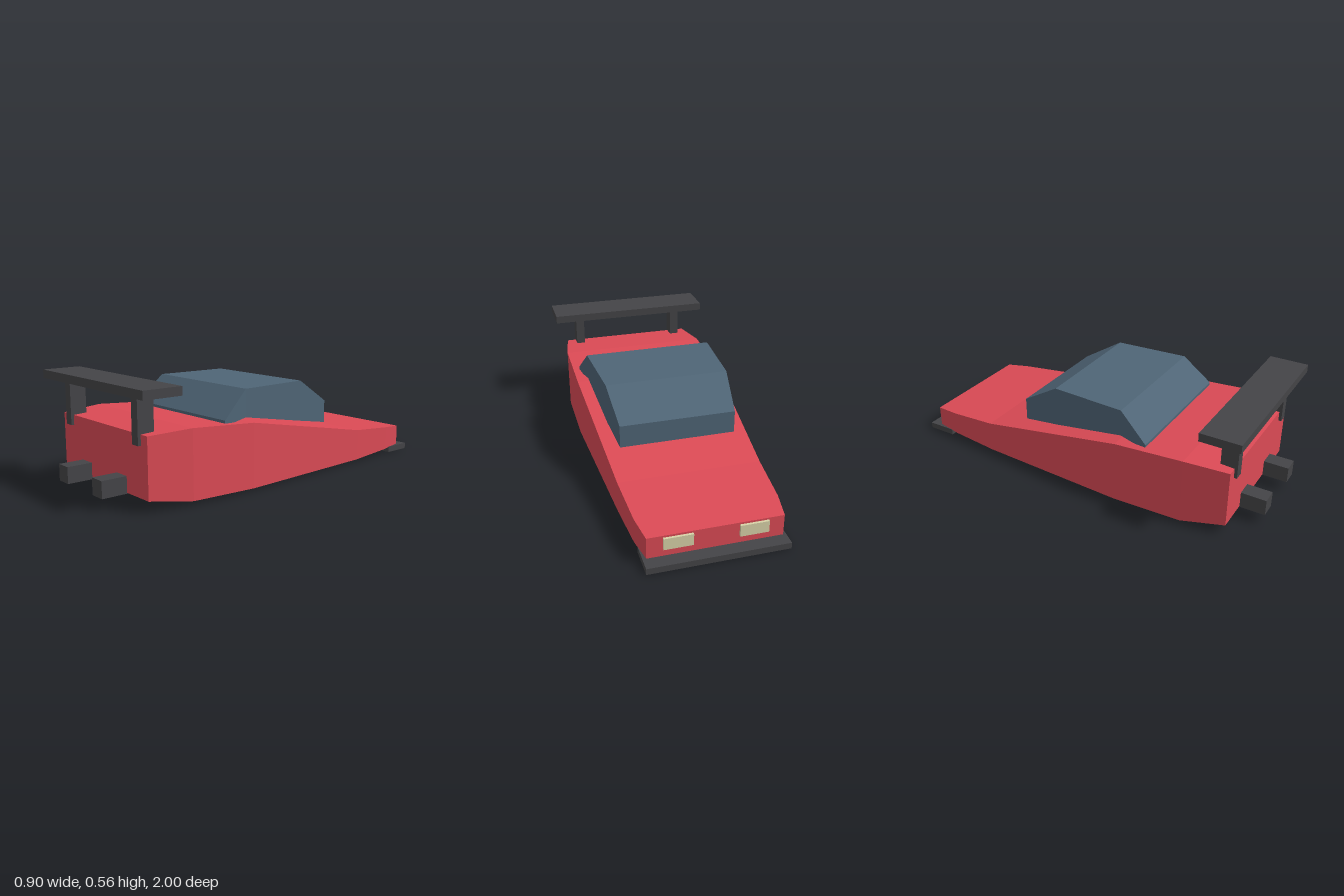
import * as THREE from 'three';

const paint = (color) => new THREE.MeshStandardMaterial({ color, flatShading: true });

// Skin rectangular cross-sections [z, halfWidth, bottom, top], listed by rising z
function loft(sections) {
  const pos = [], idx = [];
  for (const [z, w, b, t] of sections) pos.push(w, t, z, -w, t, z, -w, b, z, w, b, z);
  const last = (sections.length - 1) * 4;
  for (let s = 0; s < last; s += 4) {
    for (let i = 0; i < 4; i++) {
      const a = s + i, b = s + (i + 1) % 4;
      idx.push(a, b, b + 4, a, b + 4, a + 4);
    }
  }
  idx.push(0, 2, 1, 0, 3, 2);
  idx.push(last, last + 1, last + 2, last, last + 2, last + 3);
  const geo = new THREE.BufferGeometry();
  geo.setAttribute('position', new THREE.Float32BufferAttribute(pos, 3));
  geo.setIndex(idx);
  const flat = geo.toNonIndexed();
  flat.computeVertexNormals();
  return flat;
}

// Box given by its limits on each axis
function box([x0, x1], [y0, y1], [z0, z1]) {
  return new THREE.BoxGeometry(x1 - x0, y1 - y0, z1 - z0)
    .translate((x0 + x1) / 2, (y0 + y1) / 2, (z0 + z1) / 2);
}

export function createModel() {
  const model = new THREE.Group();
  model.name = 'sportsCar';
  const red = paint(0xdb4a55), glass = paint(0x4f6576);
  const dark = paint(0x444447), cream = paint(0xd8d2a8);

  const add = (name, geometry, material) => {
    const mesh = new THREE.Mesh(geometry, material);
    mesh.name = name;
    model.add(mesh);
  };
  const addPair = (name, [x0, x1], y, z, material) => {
    add(name + 'Left', box([x0, x1], y, z), material);
    add(name + 'Right', box([-x1, -x0], y, z), material);
  };

  // Wedge body
  add('body', loft([
    [-0.935, 0.327, 0.035, 0.145],
    [-0.8, 0.35, 0.027, 0.157],
    [-0.53, 0.366, 0.012, 0.18],
    [0.285, 0.41, 0.012, 0.338],
    [0.65, 0.41, 0.023, 0.362],
    [0.87, 0.375, 0.058, 0.35],
  ]), red);

  // Cabin, its floor sloping towards the low end
  add('cabin', loft([
    [-0.32, 0.303, 0.245, 0.365],
    [-0.11, 0.326, 0.283, 0.495],
    [0.285, 0.35, 0.355, 0.495],
    [0.435, 0.375, 0.335, 0.362],
  ]), glass);

  // Wing on two posts
  add('wing', box([-0.452, 0.452], [0.523, 0.565], [0.735, 0.937]), dark);
  addPair('wingPost', [0.277, 0.325], [0.3, 0.525], [0.8, 0.885], dark);

  // Exhausts, splitter and lamps
  addPair('exhaust', [0.116, 0.2], [0.054, 0.137], [0.85, 1], dark);
  add('splitter', box([-0.344, 0.344], [0, 0.032], [-1, -0.843]), dark);
  addPair('headlight', [0.11, 0.25], [0.075, 0.135], [-0.947, -0.92], cream);

  return model;
}
